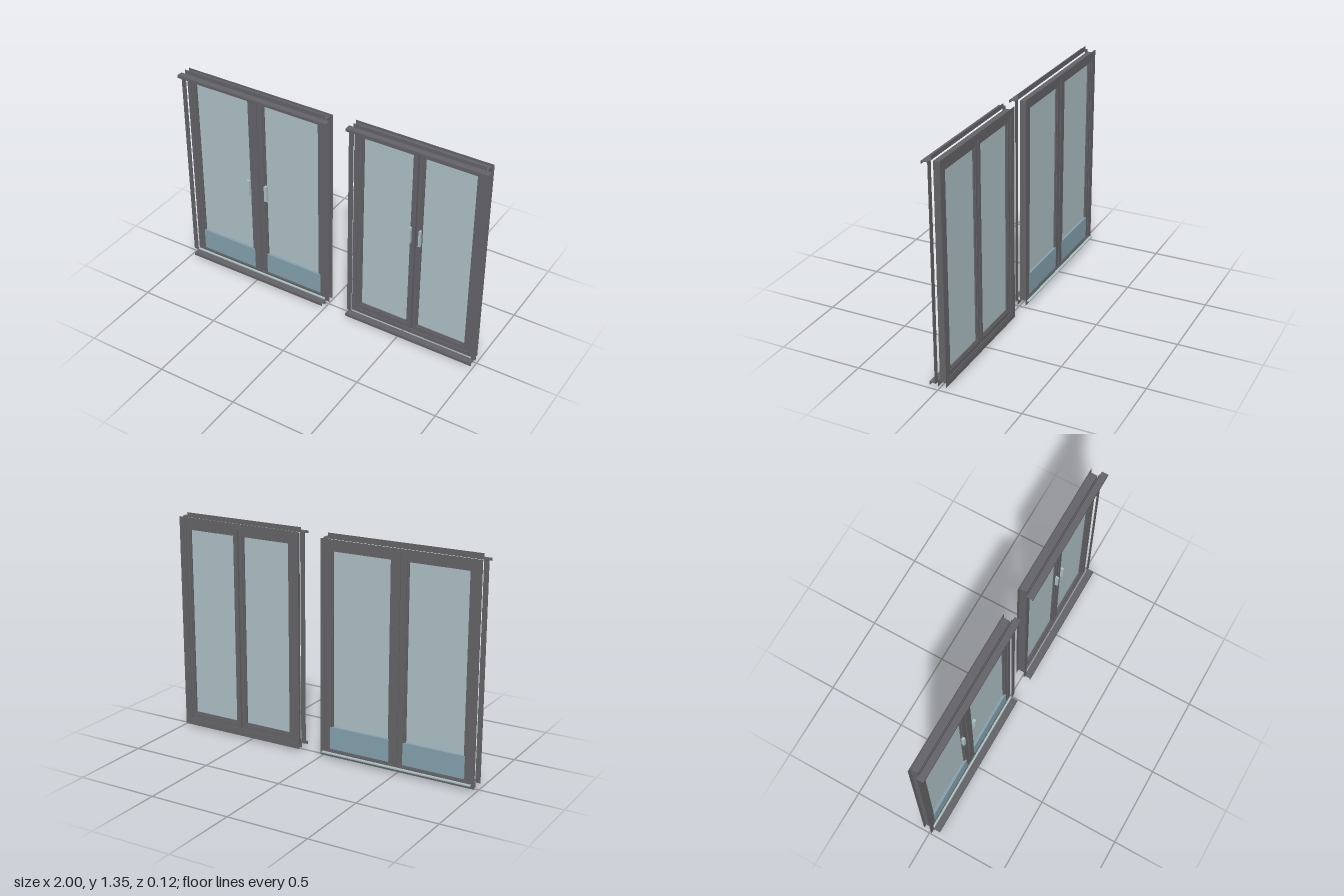
import * as THREE from 'three';

const frameMat = new THREE.MeshStandardMaterial({ color: 0x646468 });
frameMat.name = 'dark grey frame';
const glassMat = new THREE.MeshStandardMaterial({ color: 0xaec0c5 });
glassMat.name = 'pale glass';
const panelMat = new THREE.MeshStandardMaterial({ color: 0x84a1ad });
panelMat.name = 'blue grey panel';
const metalMat = new THREE.MeshStandardMaterial({ color: 0xa9c2c2 });
metalMat.name = 'pale metal';

// Box given by its limits on each axis
function box(parent, name, mat, x0, x1, y0, y1, z0, z1) {
  const mesh = new THREE.Mesh(new THREE.BoxGeometry(x1 - x0, y1 - y0, z1 - z0), mat);
  mesh.position.set((x0 + x1) / 2, (y0 + y1) / 2, (z0 + z1) / 2);
  mesh.name = name;
  parent.add(mesh);
}

// Rectangular ring [x0, x1, y0, y1] with rectangular holes, from z0 to z1
function ring(parent, name, outer, holes, z0, z1) {
  const corners = ([x0, x1, y0, y1]) => [[x0, y0], [x1, y0], [x1, y1], [x0, y1]].map(p => new THREE.Vector2(...p));
  const shape = new THREE.Shape(corners(outer));
  for (const h of holes) shape.holes.push(new THREE.Path(corners(h).reverse()));
  const mesh = new THREE.Mesh(new THREE.ExtrudeGeometry(shape, { depth: z1 - z0, bevelEnabled: false }), frameMat);
  mesh.position.z = z0;
  mesh.name = name;
  parent.add(mesh);
}

const grow = ([x0, x1, y0, y1], d) => [x0 - d, x1 + d, y0 - d, y1 + d];

function createUnit(u) {
  const g = new THREE.Group();
  g.name = u.name;
  const [fx0, fx1, fy0, fy1] = u.frame;

  // Fixed frame with a thin fixing fin around its back
  ring(g, 'outerFrame', u.frame, u.sashes, -0.04, 0.004);
  ring(g, 'backFin', [fx0 - 0.018, fx1 + 0.015, 0.015, fy1 + 0.013], [grow(u.frame, -0.012)], -0.043, -0.04);

  // Sashes, stepped glazing beads and glass
  u.sashes.forEach((s, i) => {
    const pane = u.panes[i];
    ring(g, 'sash', s, [grow(pane, 0.01)], -0.035, -0.001);
    ring(g, 'glazingBead', grow(pane, 0.01), [pane], -0.03, -0.007);
    box(g, 'glass', glassMat, ...pane, -0.021, -0.015);
  });
  for (const p of u.panels) box(g, 'kickPanel', panelMat, ...p, -0.036, 0.0005);
  for (const h of u.handles) box(g, 'handle', metalMat, ...h, -0.001, 0.017);

  // Detached front trim: side strips, top and bottom folded channels
  const { x0, x1, top, flangeTop, bx0, bx1 } = u.trim;
  box(g, 'sideTrim', frameMat, x0, x0 + 0.03, 0.033, top, 0.015, 0.018);
  box(g, 'sideTrim', frameMat, x1 - 0.03, x1, 0.033, top, 0.015, 0.018);
  box(g, 'topTrimFlange', frameMat, fx0, fx1, top - 0.003, flangeTop, 0.015, 0.018);
  box(g, 'topTrimLedge', frameMat, x0, x1, top - 0.003, top, 0.015, 0.055);
  box(g, 'topTrimLip', frameMat, x0, x1, top - 0.016, top, 0.052, 0.055);
  box(g, 'bottomTrimFlange', frameMat, fx0, fx1, 0, 0.033, 0.015, 0.018);
  box(g, 'bottomTrimLedge', frameMat, bx0, bx1, 0.03, 0.033, 0.015, 0.056);
  box(g, 'bottomTrimLip', frameMat, bx0, bx1, 0.014, 0.033, 0.053, 0.056);

  // Threshold plate passing under the frame
  if (u.sill) box(g, 'sill', metalMat, fx0, fx1, 0.034, 0.041, -0.06, 0.016);
  return g;
}

export function createModel() {
  const model = new THREE.Group();
  model.name = 'doorAndWindow';

  model.add(createUnit({
    name: 'doubleDoor',
    frame: [-0.97, -0.015, 0.036, 1.306],
    sashes: [[-0.945, -0.505, 0.055, 1.28], [-0.485, -0.04, 0.055, 1.28]],
    panes: [[-0.915, -0.553, 0.075, 1.248], [-0.44, -0.077, 0.075, 1.248]],
    panels: [[-0.922, -0.537, 0.06, 0.197], [-0.446, -0.06, 0.06, 0.197]],
    handles: [[-0.565, -0.547, 0.605, 0.71], [-0.443, -0.425, 0.605, 0.71]],
    trim: { x0: -1, x1: 0.015, top: 1.312, flangeTop: 1.34, bx0: -0.97, bx1: -0.015 },
    sill: true,
  }));

  model.add(createUnit({
    name: 'doubleWindow',
    frame: [0.167, 0.967, 0.033, 1.322],
    // One opening holds both sashes, leaving a narrow gap between them
    sashes: [[0.194, 0.562, 0.058, 1.295], [0.572, 0.94, 0.058, 1.295]],
    panes: [[0.224, 0.53, 0.1, 1.258], [0.604, 0.91, 0.1, 1.258]],
    panels: [],
    handles: [[0.53, 0.542, 0.685, 0.79], [0.593, 0.605, 0.685, 0.79]],
    trim: { x0: 0.14, x1: 1, top: 1.327, flangeTop: 1.35, bx0: 0.15, bx1: 0.99 },
    sill: false,
  }));

  // The window has no post between its sashes
  const win = model.getObjectByName('doubleWindow');
  const old = win.getObjectByName('outerFrame');
  win.remove(old);
  ring(win, 'outerFrame', [0.167, 0.967, 0.033, 1.322], [[0.194, 0.94, 0.058, 1.295]], -0.04, 0.004);
  return model;
}
